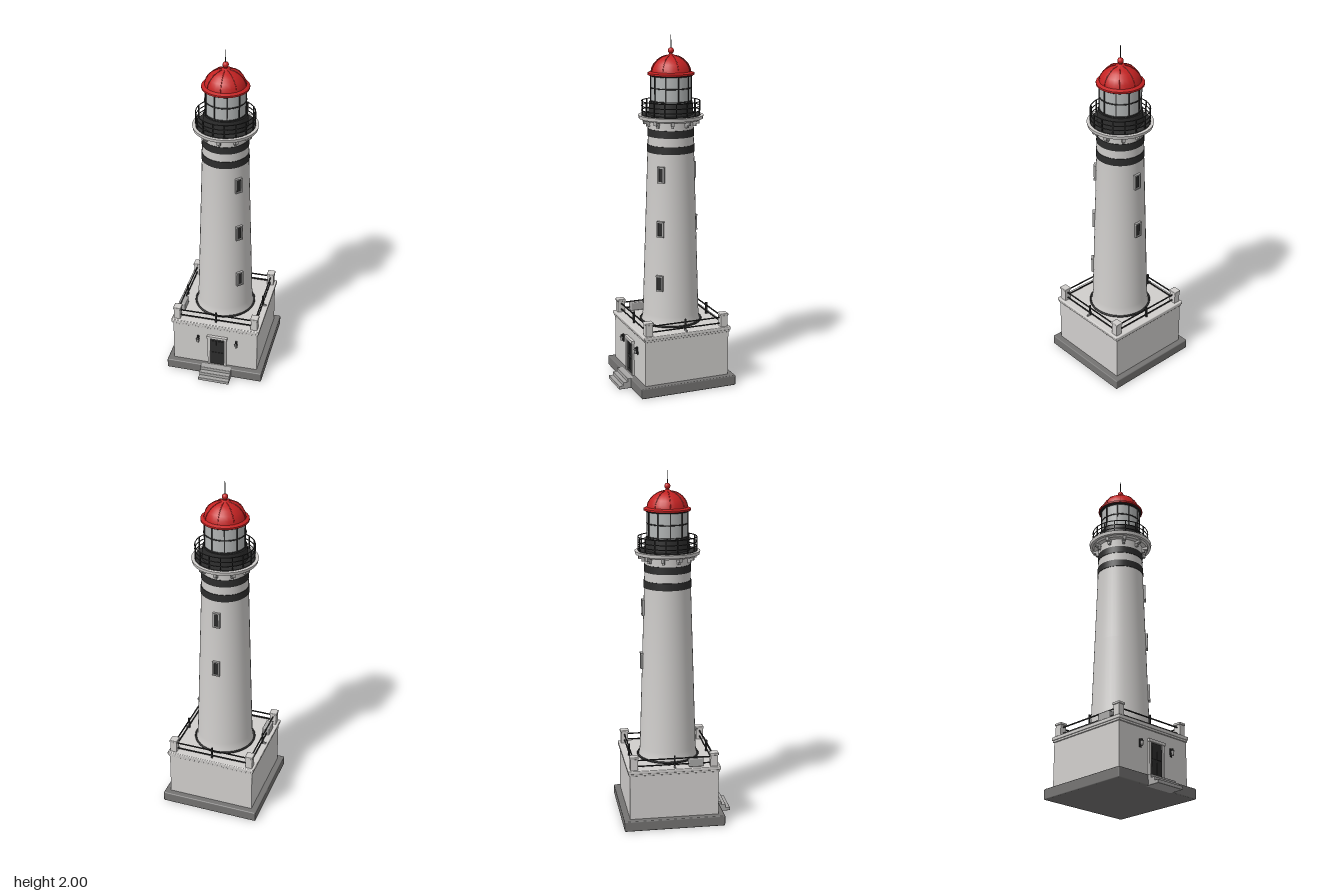
import * as THREE from 'three';
import { toCreasedNormals } from 'three/addons/utils/BufferGeometryUtils.js';
import { RoundedBoxGeometry } from 'three/addons/geometries/RoundedBoxGeometry.js';

export function createModel() {
  const root = new THREE.Group();
  root.name = 'lighthouse';
  // everything is laid out around the tower axis
  const body = new THREE.Group();
  body.name = 'building';
  body.position.z = -0.038;
  root.add(body);

  const mat = (name, color) => {
    const m = new THREE.MeshStandardMaterial({ color });
    m.name = name;
    return m;
  };
  const white = mat('whitewash', 0xd0cecc);
  const stone = mat('plinthStone', 0x747372);
  const dark = mat('darkIron', 0x2c2c2c);
  const red = mat('redRoof', 0xc42222);
  const glass = mat('lanternGlass', 0xb2b5b5);
  const grey = mat('trimGrey', 0xa8a7a6);

  const add = (name, geo, m, x = 0, y = 0, z = 0, parent = body) => {
    const mesh = new THREE.Mesh(geo, m);
    mesh.name = name;
    mesh.position.set(x, y, z);
    parent.add(mesh);
    return mesh;
  };
  const box = (name, w, h, d, m, x, y, z, parent) =>
    add(name, new THREE.BoxGeometry(w, h, d), m, x, y, z, parent);
  const soft = (name, w, h, d, r, m, x, y, z) =>
    add(name, new RoundedBoxGeometry(w, h, d, 2, r), m, x, y, z);
  const drum = (name, rTop, rBottom, y0, y1, m, seg = 40) =>
    add(name, new THREE.CylinderGeometry(rTop, rBottom, y1 - y0, seg), m, 0, (y0 + y1) / 2, 0);
  const lathe = (name, pts, m, seg = 40) =>
    add(name, toCreasedNormals(new THREE.LatheGeometry(pts.map(p => new THREE.Vector2(...p)), seg), 0.6), m);
  const ring = (name, r, tube, y, m) => {
    const mesh = add(name, new THREE.TorusGeometry(r, tube, 6, 40), m, 0, y, 0);
    mesh.rotation.x = Math.PI / 2;
    return mesh;
  };
  // group turned about the tower axis; its own +z points outward
  const turned = (name, angle) => {
    const g = new THREE.Group();
    g.name = name;
    g.rotation.y = angle;
    body.add(g);
    return g;
  };

  // square base house
  soft('plinth', 0.58, 0.06, 0.58, 0.006, stone, 0, 0.03, 0);
  box('baseWalls', 0.51, 0.28, 0.51, white, 0, 0.195, 0);
  soft('corniceLower', 0.522, 0.014, 0.522, 0.004, white, 0, 0.328, 0);
  soft('terraceSlab', 0.532, 0.02, 0.532, 0.005, white, 0, 0.343, 0);

  // entrance steps
  const doorX = 0.014;
  [0.02, 0.04, 0.06].forEach((h, i) => {
    const front = 0.361 - i * 0.026;
    soft('step', 0.186, h, front - 0.27, 0.003, grey, doorX, h / 2, (front + 0.27) / 2);
  });

  // door with frame, panels and handle
  for (const s of [-1, 1]) box('doorJamb', 0.014, 0.205, 0.018, white, doorX + s * 0.05, 0.1625, 0.258);
  box('doorLintel', 0.122, 0.016, 0.024, white, doorX, 0.262, 0.26);
  box('doorLeaf', 0.088, 0.194, 0.006, dark, doorX, 0.157, 0.257);
  for (const s of [-1, 1])
    for (const y of [0.115, 0.2]) box('doorPanel', 0.03, 0.07, 0.004, dark, doorX + s * 0.02, y, 0.261);

  // wall lamps beside the door
  for (const s of [-1, 1]) {
    const x = doorX + s * 0.117;
    box('lampPlate', 0.014, 0.045, 0.006, dark, x, 0.232, 0.257);
    box('lampArm', 0.006, 0.006, 0.02, dark, x, 0.25, 0.264);
    add('lampBody', new THREE.CylinderGeometry(0.009, 0.006, 0.024, 8), grey, x, 0.228, 0.27);
    add('lampCap', new THREE.ConeGeometry(0.011, 0.012, 8), dark, x, 0.246, 0.27);
  }

  // terrace corner posts and railings
  const px = 0.233, pz = 0.229;
  for (const sx of [-1, 1])
    for (const sz of [-1, 1]) {
      box('cornerPost', 0.038, 0.075, 0.042, white, sx * px, 0.388, sz * pz);
      soft('cornerPostCap', 0.046, 0.014, 0.051, 0.004, white, sx * px, 0.425, sz * pz);
    }
  for (const s of [-1, 1]) {
    for (const y of [0.37, 0.405]) {
      box('terraceRail', 2 * px, 0.006, 0.006, dark, 0, y, s * pz);
      box('terraceRail', 0.006, 0.006, 2 * pz, dark, s * px, y, 0);
    }
    box('railPost', 0.008, 0.07, 0.012, dark, 0, 0.387, s * pz);
    box('railPost', 0.01, 0.07, 0.008, dark, s * px, 0.387, 0.004);
    box('railBracket', 0.02, 0.01, 0.008, grey, s * 0.246, 0.358, 0.004);
  }
  soft('terraceLocker', 0.042, 0.05, 0.085, 0.006, grey, -0.227, 0.378, 0.127);

  // tapering tower with painted bands
  const radiusAt = y => 0.163 - (y - 0.4) * 0.0322;
  lathe('tower', [[0.172, 0.353], [0.166, 0.375], [radiusAt(0.41), 0.41], [radiusAt(0.9), 0.9],
    [radiusAt(1.48), 1.48], [0.13, 1.5], [0.132, 1.535]], white);
  ring('towerFootRing', 0.175, 0.006, 0.358, dark);
  for (const [y0, y1] of [[1.35, 1.392], [1.44, 1.482]])
    drum('darkBand', radiusAt(y1) + 0.003, radiusAt(y0) + 0.003, y0, y1, dark);

  // tower windows: three facing front left, two facing back
  const window = (angle, y) => {
    const g = turned('towerWindow', angle);
    const r = radiusAt(y);
    g.position.y = y;
    for (const s of [-1, 1]) {
      box('windowJamb', 0.008, 0.092, 0.022, grey, s * 0.017, 0, r, g);
      box('windowSill', 0.042, 0.008, 0.024, grey, 0, s * 0.042, r, g);
    }
    box('windowPane', 0.028, 0.08, 0.008, dark, 0, 0, r + 0.001, g);
  };
  for (const y of [0.61, 0.925, 1.235]) window(Math.PI / 4, y);
  for (const y of [0.925, 1.235]) window(Math.PI, y);

  // gallery: brackets, deck and floor
  for (let i = 0; i < 10; i++) {
    const g = turned('galleryBracket', i * Math.PI / 5);
    box('bracketUpper', 0.018, 0.022, 0.04, grey, 0, 1.523, 0.144, g);
    box('bracketLower', 0.014, 0.02, 0.02, grey, 0, 1.507, 0.136, g);
  }
  drum('galleryCorbel', 0.167, 0.158, 1.528, 1.54, white);
  drum('galleryDeck', 0.184, 0.18, 1.538, 1.557, white);
  drum('galleryFloor', 0.166, 0.166, 1.555, 1.561, dark);

  // gallery railing
  for (const y of [1.583, 1.608, 1.635]) ring('galleryRail', 0.164, 0.0028, y, dark);
  for (let i = 0; i < 16; i++) {
    const g = turned('galleryPost', (i + 0.5) * Math.PI / 8);
    box('postBar', 0.006, 0.08, 0.006, dark, 0, 1.597, 0.164, g);
  }

  // lantern room
  drum('lanternWall', 0.122, 0.127, 1.56, 1.632, dark);
  drum('lanternGlass', 0.113, 0.113, 1.63, 1.785, glass, 30);
  for (const y of [1.637, 1.71, 1.777]) ring('lanternHoop', 0.114, 0.0035, y, dark);
  for (let i = 0; i < 10; i++) {
    const g = turned('mullion', (i + 0.5) * Math.PI / 5);
    box('mullionBar', 0.006, 0.15, 0.007, dark, 0, 1.706, 0.114, g);
  }

  // domed roof with ribs, ball and spike
  drum('eaveUnderside', 0.128, 0.122, 1.776, 1.784, dark, 24);
  const dome = [[0.114, 1.8], [0.11, 1.82], [0.097, 1.843], [0.077, 1.864], [0.05, 1.88], [0.022, 1.888]];
  lathe('dome', [[0.12, 1.782], [0.132, 1.782], [0.132, 1.792], ...dome, [0.01, 1.895], [0.008, 1.905]], red, 24);
  const ribPath = new THREE.CatmullRomCurve3(dome.map(([r, y]) => new THREE.Vector3(0, y, r)));
  const ribGeo = new THREE.TubeGeometry(ribPath, 12, 0.0022, 5);
  for (let i = 0; i < 8; i++) add('roofRib', ribGeo, red, 0, 0, 0, turned('roofRibTurn', i * Math.PI / 4));
  add('finialBall', new THREE.SphereGeometry(0.017, 16, 12), red, 0, 1.914, 0);
  drum('finialSpike', 0.0015, 0.003, 1.925, 2, dark, 8);

  return root;
}
